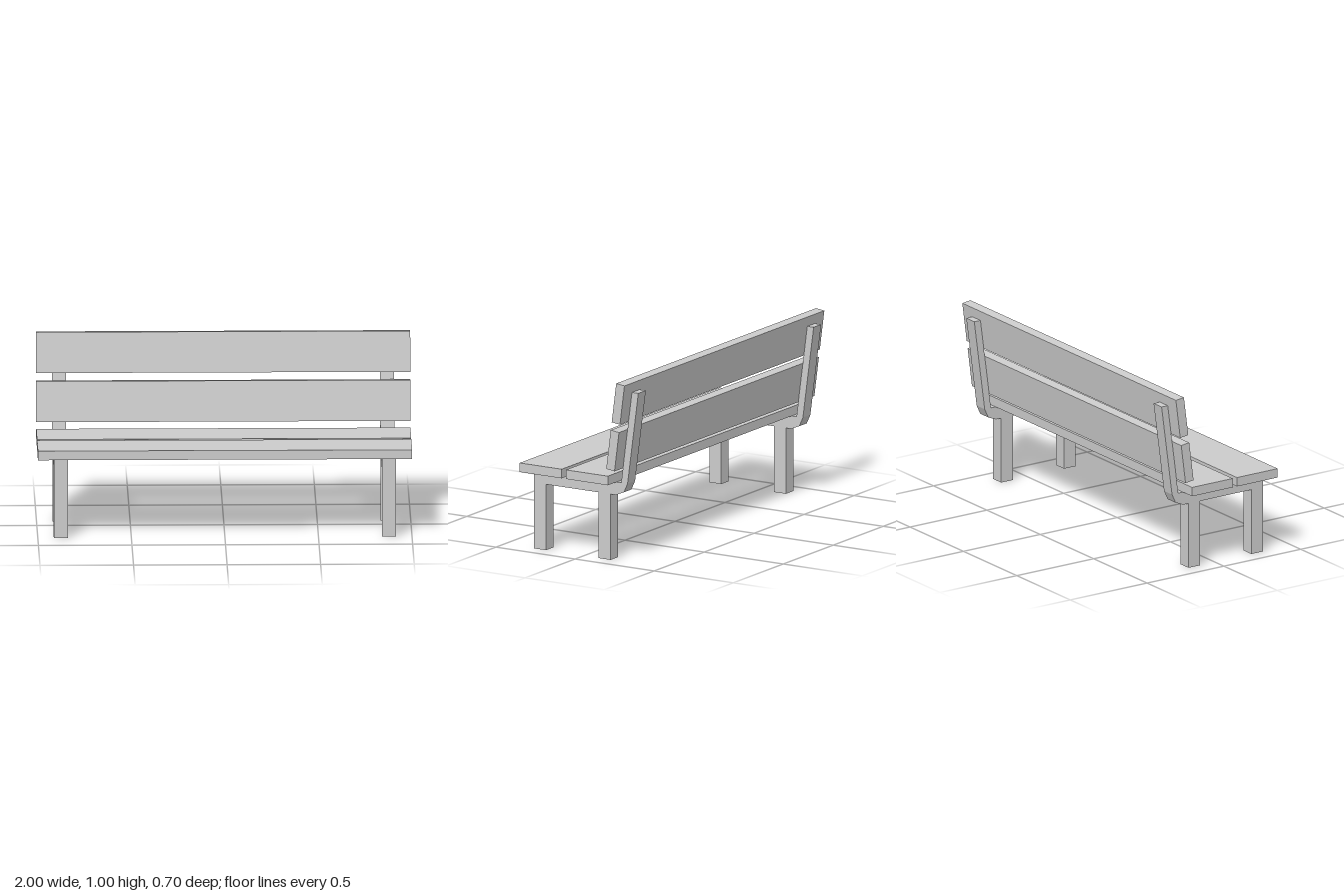
import * as THREE from 'three';

const WIDTH = 2;         // length of every plank
const FRAME_X = 0.877;   // centre of each side frame
const FRAME_T = 0.075;   // frame thickness
const LEAN = -0.13;      // backrest lean in radians

// Side outline of a frame as (z, y): legs, seat rail and leaning back post
const FRAME = [
  [0.313, 0], [0.313, 0.433], [-0.238, 0.433], [-0.306, 0.939],
  [-0.346, 0.939], [-0.278, 0.433], [-0.255, 0.383], [-0.205, 0.362],
  [-0.171, 0.362], [-0.171, 0], [-0.095, 0], [-0.095, 0.362],
  [0.238, 0.362], [0.238, 0],
];

export function createModel() {
  const bench = new THREE.Group();
  bench.name = 'bench';
  const material = new THREE.MeshStandardMaterial({ color: 0xcccccc, flatShading: true });

  const add = (name, geometry, x, y, z, tilt = 0) => {
    const mesh = new THREE.Mesh(geometry, material);
    mesh.name = name;
    mesh.position.set(x, y, z);
    mesh.rotation.x = tilt;
    bench.add(mesh);
  };

  // Side frames
  const outline = new THREE.Shape(FRAME.map(([z, y]) => new THREE.Vector2(z, y)));
  const frame = new THREE.ExtrudeGeometry(outline, { depth: FRAME_T, bevelEnabled: false });
  frame.translate(0, 0, -FRAME_T / 2).rotateY(-Math.PI / 2);
  add('leftFrame', frame, FRAME_X, 0, 0);
  add('rightFrame', frame, -FRAME_X, 0, 0);

  // Seat planks
  const seatPlank = new THREE.BoxGeometry(WIDTH, 0.05, 0.265);
  add('frontSeatPlank', seatPlank, 0, 0.458, 0.2175);
  add('rearSeatPlank', seatPlank, 0, 0.458, -0.0745);

  // Backrest planks
  const backPlank = new THREE.BoxGeometry(WIDTH, 0.219, 0.0525);
  add('lowerBackPlank', backPlank, 0, 0.627, -0.2375, LEAN);
  add('upperBackPlank', backPlank, 0, 0.888, -0.272, LEAN);

  return bench;
}
